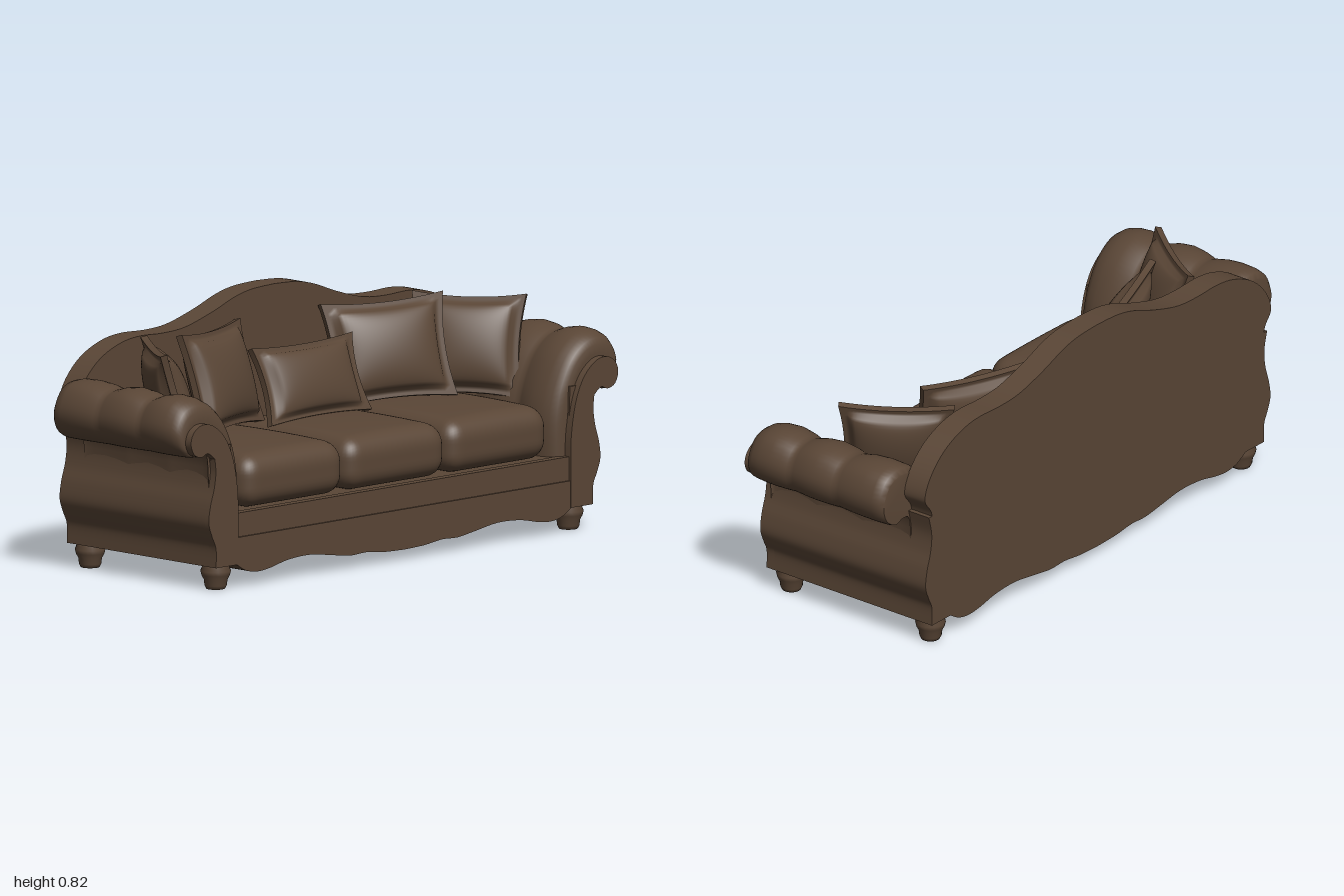
import * as THREE from 'three';
import { toCreasedNormals, mergeVertices } from 'three/addons/utils/BufferGeometryUtils.js';

const leather = new THREE.MeshStandardMaterial({ color: 0x5a4636 });
leather.name = 'brown leather';

const V = ([x, y]) => new THREE.Vector2(x, y);
const curve = (pts, n = 40) => new THREE.SplineCurve(pts.map(V)).getPoints(n);
const mirrorPath = (pts) => pts.map((p) => new THREE.Vector2(-p.x, p.y)).reverse();

function add(parent, name, geometry) {
  const mesh = new THREE.Mesh(geometry, leather);
  mesh.name = name;
  parent.add(mesh);
  return mesh;
}

// Flat outline extruded from z0 to z1, smooth along its curves
function slab(points, z0, z1) {
  const g = new THREE.ExtrudeGeometry(new THREE.Shape(points), { depth: z1 - z0, bevelEnabled: false });
  g.translate(0, 0, z0);
  return toCreasedNormals(g, 0.6);
}

// Weld a shaped box so that it shades smoothly
function smooth(g) {
  g.deleteAttribute('uv');
  g.deleteAttribute('normal');
  const m = mergeVertices(g, 1e-5);
  m.computeVertexNormals();
  return m;
}

// Rounded box with a domed top
function cushionGeometry(w, h, d, r, dome) {
  const g = new THREE.BoxGeometry(w, h, d, 28, 12, 32);
  const p = g.attributes.position;
  const v = new THREE.Vector3(), c = new THREE.Vector3();
  const hi = new THREE.Vector3(w / 2 - r, h / 2 - r, d / 2 - r), lo = hi.clone().negate();
  for (let i = 0; i < p.count; i++) {
    v.fromBufferAttribute(p, i);
    c.copy(v).clamp(lo, hi);
    v.sub(c).setLength(r).add(c);
    const a = 1 - (2 * v.x / w) ** 2, b = 1 - (2 * v.z / d) ** 2;
    if (v.y > 0) v.y += dome * Math.sqrt(Math.max(0, a * b)) * Math.min(1, v.y / (h / 2));
    p.setXYZ(i, v.x, v.y, v.z);
  }
  return smooth(g);
}

// Stuffed pillow with drawn-in sides, pointed corners and a thin flange
function pillowGeometry(w, h, puff) {
  const g = new THREE.BoxGeometry(2, 2, 2, 32, 32, 1);
  const p = g.attributes.position;
  const rim = 0.87;
  for (let i = 0; i < p.count; i++) {
    const u = p.getX(i), v = p.getY(i), side = Math.sign(p.getZ(i));
    const a = Math.max(0, 1 - (u / rim) ** 2), b = Math.max(0, 1 - (v / rim) ** 2);
    const z = 0.011 + puff * Math.pow(a * b, 0.4);
    p.setXYZ(i, w / 2 * u * (1 - 0.09 * (1 - v * v)), h / 2 * v * (1 - 0.09 * (1 - u * u)), side * z);
  }
  g.computeVertexNormals();
  return g;
}

// Rolled arm: one cross-section swept along z with three soft bulges
function armGeometry(s) {
  const ring = curve([[0.69, 0.22], [0.69, 0.36], [0.715, 0.46], [0.765, 0.555], [0.83, 0.612], [0.9, 0.63],
    [0.965, 0.608], [1, 0.54], [0.985, 0.475], [0.935, 0.44], [0.885, 0.45], [0.85, 0.42], [0.84, 0.22]], 56);
  const sections = [[0.312, 0.6], [0.31, 0.74], [0.3, 0.85], [0.28, 0.93], [0.25, 0.98], [0.21, 1], [0.17, 0.96],
    [0.145, 0.91], [0.13, 0.88], [0.115, 0.91], [0.08, 0.97], [0.035, 1], [-0.01, 0.97], [-0.04, 0.925],
    [-0.055, 0.9], [-0.07, 0.925], [-0.11, 0.975], [-0.16, 1], [-0.21, 0.99], [-0.24, 0.95], [-0.252, 0.86]];
  const pos = [], idx = [], n = ring.length, last = sections.length - 1;
  const cx = 0.87, cy = 0.45;
  const tri = (a, b, c) => (s > 0 ? idx.push(a, b, c) : idx.push(a, c, b));
  for (const [z, k] of sections) {
    for (const q of ring) {
      const kx = q.x > cx ? 1 - (1 - k) * 0.8 : k;
      pos.push(s * (cx + (q.x - cx) * kx), q.y > cy ? cy + (q.y - cy) * k : q.y, z);
    }
  }
  for (let j = 0; j < last; j++) {
    for (let i = 0; i < n; i++) {
      const a = j * n + i, b = j * n + (i + 1) % n;
      tri(a, b, a + n);
      tri(b, b + n, a + n);
    }
  }
  // End caps
  const o = ring.map((_, i) => new THREE.Vector2(pos[i * 3] * s, pos[i * 3 + 1]));
  for (const [a, b, c] of THREE.ShapeUtils.triangulateShape(o, [])) {
    const ccw = (o[b].x - o[a].x) * (o[c].y - o[a].y) - (o[b].y - o[a].y) * (o[c].x - o[a].x) > 0;
    const [p, q] = ccw ? [b, c] : [c, b];
    tri(a, p, q);
    tri(last * n + a, last * n + q, last * n + p);
  }
  const g = new THREE.BufferGeometry();
  g.setAttribute('position', new THREE.Float32BufferAttribute(pos, 3));
  g.setIndex(idx);
  return toCreasedNormals(g, 0.9);
}

export function createModel() {
  const sofa = new THREE.Group();
  sofa.name = 'sofa';

  // Scalloped bottom edge and curved flanks shared by the frame and apron
  const hem = curve([[0, 0.035], [0.09, 0.038], [0.17, 0.047], [0.24, 0.045], [0.32, 0.056], [0.42, 0.07],
    [0.52, 0.066], [0.6, 0.05], [0.66, 0.045], [0.71, 0.055], [0.75, 0.078]]);
  const flank = curve([[0.845, 0.078], [0.845, 0.14], [0.862, 0.18], [0.877, 0.225], [0.87, 0.28],
    [0.852, 0.34], [0.846, 0.4], [0.86, 0.465]]);
  const half = [...hem, ...flank, V([0.76, 0.465]), V([0.75, 0.24])];
  add(sofa, 'frame', slab([...half, ...mirrorPath(half.slice(1))], -0.335, 0.318));

  // Front apron and the rail above it
  const apron = [...hem, V([0.75, 0.165])];
  add(sofa, 'apron', slab([...apron, ...mirrorPath(apron.slice(1))], 0.31, 0.335));
  const rail = add(sofa, 'seatRail', new THREE.BoxGeometry(1.5, 0.08, 0.03));
  rail.position.set(0, 0.202, 0.313);

  // Serpentine back
  const crest = curve([[0, 0.82], [0.1, 0.815], [0.18, 0.798], [0.28, 0.762], [0.4, 0.729], [0.5, 0.722],
    [0.6, 0.725], [0.68, 0.715], [0.76, 0.685], [0.82, 0.642], [0.865, 0.585], [0.88, 0.53], [0.85, 0.485],
    [0.84, 0.44]], 70);
  const back = [...crest, V([0.84, 0.2])];
  add(sofa, 'back', slab([...back, ...mirrorPath(back.slice(1))], -0.335, -0.25));

  // Scrolled arm facing
  const facing = [...flank.slice(0, -6), ...curve([[0.85, 0.43], [0.88, 0.452], [0.91, 0.443], [0.942, 0.455],
    [0.957, 0.49], [0.945, 0.525], [0.91, 0.546], [0.86, 0.54], [0.805, 0.495], [0.768, 0.42], [0.748, 0.32],
    [0.745, 0.24]], 40), V([0.745, 0.078])];

  const legProfile = [[0, 0], [0.03, 0], [0.036, 0.012], [0.038, 0.03], [0.046, 0.045], [0.049, 0.058],
    [0.044, 0.07], [0.045, 0.09], [0, 0.09]].map(V);

  for (const s of [1, -1]) {
    const side = s > 0 ? 'left' : 'right';
    add(sofa, side + 'Arm', armGeometry(s));
    add(sofa, side + 'ArmFacing', slab(facing.map((p) => new THREE.Vector2(s * p.x, p.y)), 0.305, 0.337));
    for (const z of [0.28, -0.285]) {
      add(sofa, side + (z > 0 ? 'FrontLeg' : 'BackLeg'), new THREE.LatheGeometry(legProfile, 20))
        .position.set(s * 0.79, 0, z);
    }
  }

  // Seat cushions
  for (const i of [-1, 0, 1]) {
    add(sofa, 'seatCushion', cushionGeometry(0.453, 0.165, 0.56, 0.06, 0.018)).position.set(i * 0.457, 0.323, 0.032);
  }

  // Throw pillows: name, width, height, puff, position, yaw, tilt, roll
  const pillows = [
    ['centrePillow', 0.45, 0.255, 0.045, [0, 0.53, -0.09], 0, -0.36, 0],
    ...[1, -1].flatMap((s) => [
      [(s > 0 ? 'left' : 'right') + 'InnerPillow', 0.43, 0.335, 0.055, [s * 0.375, 0.577, -0.115], -s * 0.35, -0.28, s * 0.03],
      [(s > 0 ? 'left' : 'right') + 'OuterPillow', 0.37, 0.335, 0.055, [s * 0.67, 0.565, -0.055], -s * 0.96, -0.28, 0],
    ]),
  ];
  for (const [name, w, h, puff, at, yaw, tilt, roll] of pillows) {
    const pillow = add(sofa, name, pillowGeometry(w, h, puff));
    pillow.position.set(...at);
    pillow.rotation.set(tilt, yaw, roll, 'YXZ');
  }
  return sofa;
}
